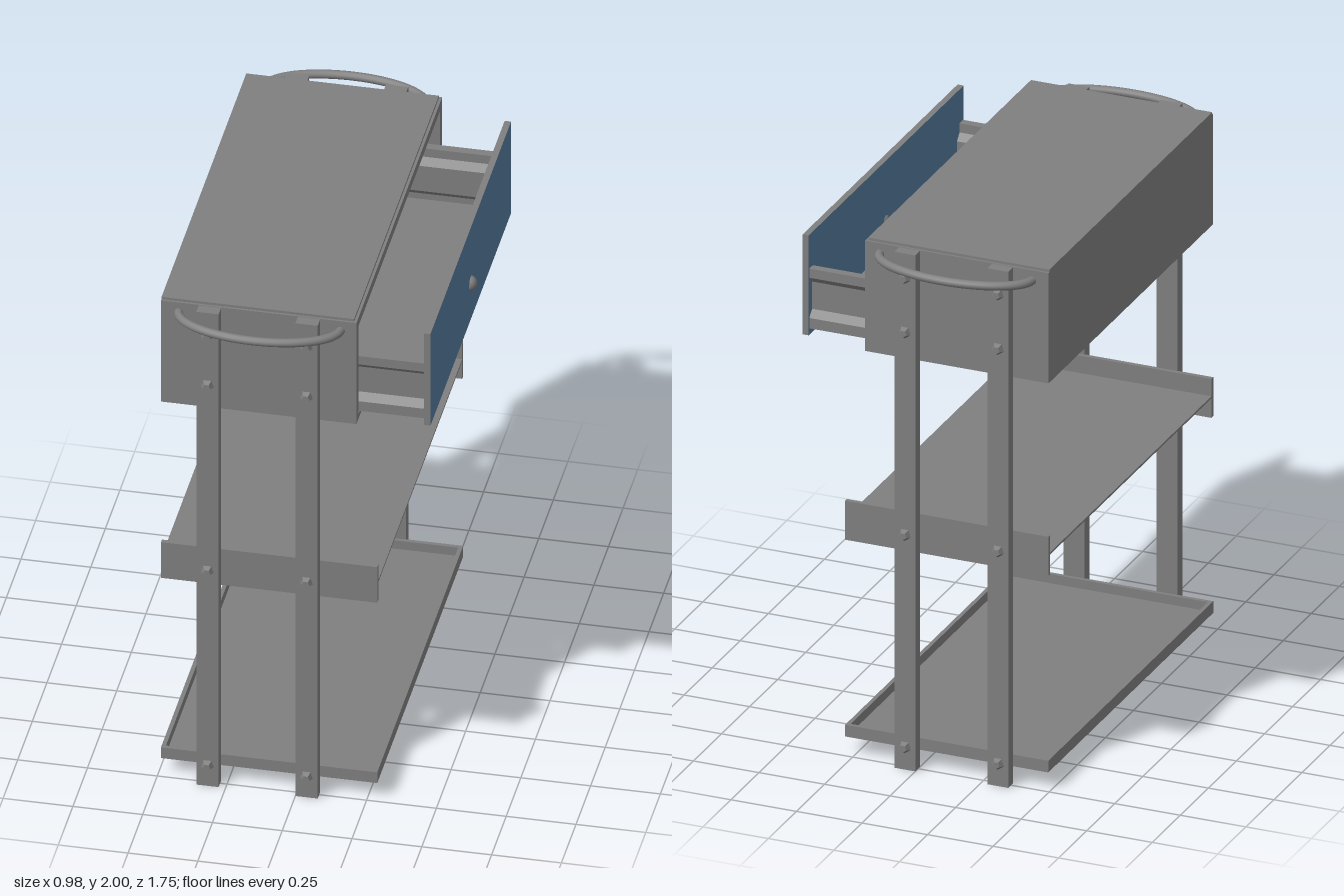
import * as THREE from 'three';

const grey = new THREE.MeshStandardMaterial({ color: 0x7f7f7f });
grey.name = 'metal grey';
const blue = new THREE.MeshStandardMaterial({ color: 0x54789b });
blue.name = 'drawer blue';

// Box given by its min and max on each axis
function box(parent, name, [x0, x1], [y0, y1], [z0, z1], material = grey) {
  const mesh = new THREE.Mesh(new THREE.BoxGeometry(x1 - x0, y1 - y0, z1 - z0), material);
  mesh.position.set((x0 + x1) / 2, (y0 + y1) / 2, (z0 + z1) / 2);
  mesh.name = name;
  parent.add(mesh);
  return mesh;
}

function group(parent, name) {
  const g = new THREE.Group();
  g.name = name;
  parent.add(g);
  return g;
}

// Range on the z axis, mirrored when side is -1
const span = (side, a, b) => (side > 0 ? [a, b] : [-b, -a]);

export function createModel() {
  const model = new THREE.Group();
  model.name = 'trolley';
  const depth = [-0.49, 0.285];

  // Cabinet shell, open towards +x
  const cabinet = group(model, 'cabinet');
  box(cabinet, 'cabinetLid', [-0.49, 0.2], [1.985, 2], [-0.725, 0.725]);
  box(cabinet, 'cabinetTop', [-0.49, 0.21], [1.955, 1.99], [-0.733, 0.733]);
  box(cabinet, 'cabinetBottom', [-0.49, 0.21], [1.565, 1.585], [-0.733, 0.733]);
  box(cabinet, 'cabinetBack', [-0.49, -0.465], [1.585, 1.955], [-0.733, 0.733]);
  for (const s of [1, -1]) {
    box(cabinet, 'cabinetSide', [-0.465, 0.21], [1.585, 1.955], span(s, 0.695, 0.733));
  }

  // Drawer pulled part of the way out
  const drawer = group(model, 'drawer');
  box(drawer, 'drawerFloor', [-0.45, 0.445], [1.592, 1.606], [-0.657, 0.657]);
  box(drawer, 'drawerBack', [-0.45, -0.43], [1.606, 1.82], [-0.635, 0.635]);
  box(drawer, 'drawerFront', [0.443, 0.466], [1.565, 1.95], [-0.69, 0.69],
    [blue, blue, grey, grey, grey, grey]);

  // Drawer sides: sheet with a groove pressed in along its length
  const sideProfile = [
    [0.685, 1.82], [0.685, 1.785], [0.66, 1.76], [0.66, 1.655], [0.685, 1.63], [0.685, 1.59],
    [0.653, 1.59], [0.653, 1.63], [0.63, 1.655], [0.63, 1.76], [0.653, 1.785], [0.653, 1.82],
  ];
  for (const s of [1, -1]) {
    const shape = new THREE.Shape(sideProfile.map(([z, y]) => new THREE.Vector2(-s * z, y)));
    const geometry = new THREE.ExtrudeGeometry(shape, { depth: 0.895, bevelEnabled: false });
    geometry.rotateY(Math.PI / 2);
    geometry.translate(-0.45, 0, 0);
    const side = new THREE.Mesh(geometry, grey);
    side.name = 'drawerSide';
    drawer.add(side);
  }

  // Round drawer knob
  const knob = new THREE.Mesh(new THREE.SphereGeometry(0.028, 20, 14), grey);
  knob.name = 'drawerKnob';
  knob.position.set(0.461, 1.718, 0);
  drawer.add(knob);

  // Middle shelf with tall end plates
  const shelf = group(model, 'middleShelf');
  box(shelf, 'shelfPanel', depth, [0.9, 0.908], [-0.72, 0.72]);
  for (const s of [1, -1]) {
    box(shelf, 'shelfEndPlate', depth, [0.825, 0.975], span(s, 0.718, 0.735));
  }

  // Bottom tray with a low rim all round
  const tray = group(model, 'bottomTray');
  box(tray, 'trayFloor', depth, [0.067, 0.077], [-0.735, 0.735]);
  for (const s of [1, -1]) {
    box(tray, 'trayEndRim', depth, [0.077, 0.112], span(s, 0.72, 0.735));
  }
  box(tray, 'trayBackRim', [-0.49, -0.475], [0.077, 0.112], [-0.72, 0.72]);
  box(tray, 'trayFrontRim', [0.27, 0.285], [0.077, 0.112], [-0.72, 0.72]);

  // Posts with five-sided bolt heads
  const boltGeometry = new THREE.CylinderGeometry(0.014, 0.025, 0.02, 5).toNonIndexed();
  boltGeometry.computeVertexNormals();
  boltGeometry.rotateX(Math.PI / 2);
  for (const s of [1, -1]) {
    for (const x of [-0.315, 0.04]) {
      const post = group(model, 'postAssembly');
      box(post, 'post', [x - 0.04, x + 0.04], [0, 1.988], span(s, 0.733, 0.775));
      for (const y of [0.087, 0.905, 1.685, 1.895]) {
        const bolt = new THREE.Mesh(boltGeometry, grey);
        bolt.name = 'bolt';
        bolt.position.set(x, y, s * 0.783);
        if (s < 0) bolt.rotation.y = Math.PI;
        post.add(bolt);
      }
    }

    // Half-oval push handle
    const points = [];
    for (let i = 0; i <= 16; i++) {
      const a = (i / 16) * Math.PI;
      points.push(new THREE.Vector3(-0.137 + 0.291 * Math.cos(a), 1.95, s * (0.725 + 0.134 * Math.sin(a))));
    }
    const path = new THREE.CatmullRomCurve3(points);
    const handle = new THREE.Mesh(new THREE.TubeGeometry(path, 40, 0.016, 12), grey);
    handle.name = 'handle';
    model.add(handle);
  }

  return model;
}
